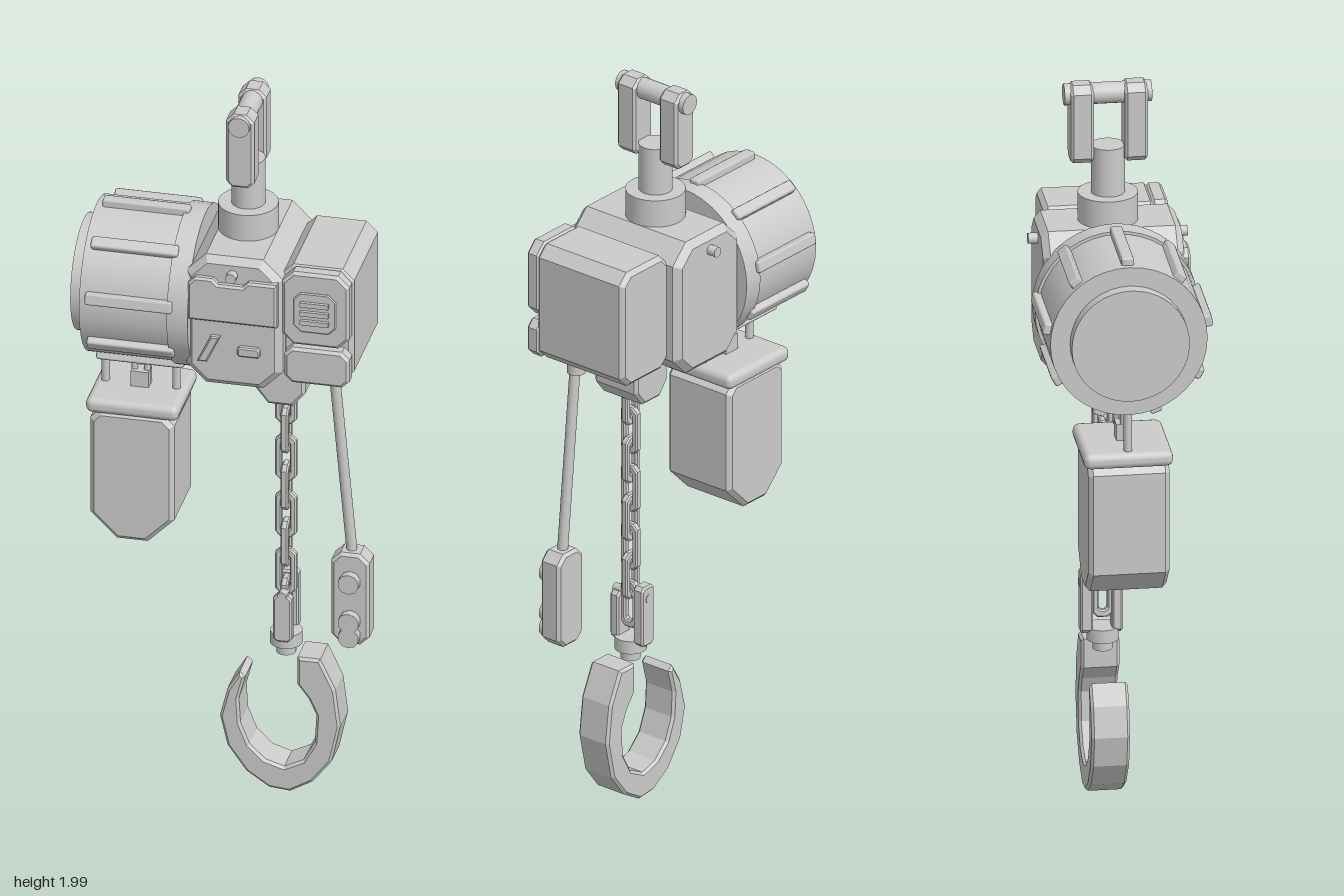
import * as THREE from 'three';
import { RoundedBoxGeometry } from 'three/addons/geometries/RoundedBoxGeometry.js';

const mat = new THREE.MeshStandardMaterial({ color: 0xcccccc });

export function createModel() {
  const model = new THREE.Group();

  function add(name, geo, x = 0, y = 0, z = 0, parent = model) {
    const mesh = new THREE.Mesh(geo, mat);
    mesh.name = name;
    mesh.position.set(x, y, z);
    parent.add(mesh);
    return mesh;
  }
  // Bevelled prism along z from an outline
  function prism(name, shape, z0, z1, bevel = 0.008) {
    const geo = new THREE.ExtrudeGeometry(shape, {
      depth: z1 - z0 - 2 * bevel, bevelEnabled: bevel > 0, bevelSize: bevel,
      bevelThickness: bevel, bevelOffset: -bevel, bevelSegments: 1, curveSegments: 6,
    });
    return add(name, geo, 0, 0, z0 + bevel);
  }
  const poly = (pts) => new THREE.Shape(pts.map(([x, y]) => new THREE.Vector2(x, y)));
  // Rectangle with cut corners: ct at the top, cb at the bottom
  const chamfered = (x0, x1, y0, y1, ct, cb = ct) => poly([
    [x0 + cb, y0], [x1 - cb, y0], [x1, y0 + cb], [x1, y1 - ct],
    [x1 - ct, y1], [x0 + ct, y1], [x0, y1 - ct], [x0, y0 + cb],
  ]);
  const rod = (r, len, seg = 20) => new THREE.CylinderGeometry(r, r, len, seg);
  function rodX(name, r, x0, x1, y, z, seg = 40) {
    add(name, rod(r, x1 - x0, seg), (x0 + x1) / 2, y, z).rotation.z = Math.PI / 2;
  }
  function rodZ(name, r, z0, z1, x, y, seg = 16) {
    add(name, rod(r, z1 - z0, seg), x, y, (z0 + z1) / 2).rotation.x = Math.PI / 2;
  }

  // Motor with end cap, flange and nine cooling ribs
  const MY = 1.437;
  rodX('motorBody', 0.204, -0.355, -0.1, MY, 0);
  rodX('motorEndCap', 0.153, -0.39, -0.34, MY, 0);
  rodX('motorFlange', 0.212, -0.122, -0.067, MY, 0);
  for (let i = 0; i < 9; i++) {
    const a = (i * 2 * Math.PI) / 9;
    const rib = add('motorRib', new RoundedBoxGeometry(0.23, 0.034, 0.032, 1, 0.006),
      -0.223, MY + 0.206 * Math.cos(a), 0.206 * Math.sin(a));
    rib.rotation.x = a;
  }

  // Central gear housing with cover details
  prism('housing', chamfered(-0.08, 0.175, 1.245, 1.62, 0.052), -0.183, 0.183, 0.018);
  prism('frontCover', poly([[-0.07, 1.44], [0.165, 1.44], [0.165, 1.565], [0.09, 1.565],
    [0.075, 1.55], [0.01, 1.55], [-0.005, 1.565], [-0.05, 1.565], [-0.07, 1.545]]), 0.17, 0.2, 0.006);
  prism('slantedTab', poly([[-0.045, 1.32], [-0.02, 1.32], [0.015, 1.395], [-0.01, 1.395]]), 0.17, 0.197, 0.004);
  prism('smallTab', chamfered(0.06, 0.12, 1.345, 1.372, 0.006), 0.17, 0.197, 0.004);
  rodZ('housingPin', 0.014, -0.208, 0.206, 0.045, 1.575);

  // Suspension collar, stem, clevis and pin
  add('collar', rod(0.078, 0.09, 32), 0.045, 1.65, 0);
  add('stem', rod(0.044, 0.14, 28), 0.045, 1.755, 0);
  for (const s of [-1, 1]) {
    const c = s * 0.07;
    prism('clevisPlate', chamfered(0.008, 0.082, 1.785, 1.998, 0.02, 0.016), c - 0.03, c + 0.03, 0.007);
  }
  rodZ('clevisPin', 0.028, -0.115, 0.112, 0.045, 1.968, 20);

  // Electrical box with two front panels and a grille
  prism('electricalBox', chamfered(0.165, 0.355, 1.275, 1.6, 0.03), -0.147, 0.143, 0.012);
  prism('upperPanel', chamfered(0.174, 0.352, 1.388, 1.6, 0.03), 0.135, 0.178);
  prism('lowerPanel', chamfered(0.18, 0.352, 1.275, 1.378, 0.02), 0.135, 0.178);
  prism('grilleFrame', chamfered(0.205, 0.318, 1.43, 1.545, 0.02), 0.17, 0.182, 0.003);
  for (let i = 0; i < 3; i++)
    add('grilleBar', new THREE.BoxGeometry(0.075, 0.013, 0.014), 0.262, 1.462 + i * 0.026, 0.184);

  // Chain guide under the housing
  prism('chainGuide', poly([[0.112, 1.145], [0.178, 1.145], [0.21, 1.185], [0.21, 1.235],
    [0.178, 1.275], [0.112, 1.275], [0.08, 1.235], [0.08, 1.185]]), -0.073, 0.07);

  // Load chain with links turned a quarter each
  const CX = 0.145;
  const link = chamfered(-0.028, 0.028, -0.066, 0.066, 0.014);
  link.holes.push(chamfered(-0.011, 0.011, -0.046, 0.046, 0.006));
  const linkGeo = new THREE.ExtrudeGeometry(link, { depth: 0.012, bevelThickness: 0.004,
    bevelSize: 0.004, bevelOffset: -0.004, bevelSegments: 1 }).translate(0, 0, -0.006);
  for (let i = 0; i < 8; i++)
    add('chainLink', linkGeo, CX, 1.125 - i * 0.083, 0).rotation.y = (i % 2) * Math.PI / 2;

  // Hook swivel: side plates, bolt and nut
  prism('swivelPlate', chamfered(0.12, 0.17, 0.44, 0.61, 0.01), -0.06, -0.027, 0.005);
  prism('swivelPlate', chamfered(0.12, 0.17, 0.44, 0.575, 0.01), 0.022, 0.05, 0.005);
  rodZ('swivelBolt', 0.012, -0.062, 0.052, CX, 0.575, 10);
  add('swivelNut', rod(0.042, 0.036, 16), CX, 0.435, 0);
  add('swivelShank', rod(0.026, 0.05, 16), CX, 0.415, 0);

  // Hook, a faceted slab
  prism('hook', poly([[0.185, 0.4], [0.245, 0.4], [0.285, 0.315], [0.298, 0.21], [0.275, 0.105],
    [0.225, 0.04], [0.165, 0.005], [0.11, 0.01], [0.05, 0.05], [0, 0.12], [-0.02, 0.205],
    [0, 0.285], [0.032, 0.338], [0.047, 0.325], [0.03, 0.26], [0.034, 0.19], [0.058, 0.13],
    [0.1, 0.09], [0.15, 0.075], [0.2, 0.1], [0.23, 0.155], [0.235, 0.235], [0.215, 0.28],
    [0.185, 0.32]]), -0.05, 0.05, 0.007);

  // Control cable and pendant with buttons
  add('cableGland', rod(0.025, 0.04, 14), 0.285, 1.258, 0.065);
  const cable = new THREE.LineCurve3(new THREE.Vector3(0.288, 1.25, 0.067), new THREE.Vector3(0.335, 0.74, 0.07));
  add('controlCable', new THREE.TubeGeometry(cable, 1, 0.014, 10));
  prism('pendant', chamfered(0.286, 0.387, 0.485, 0.75, 0.025), 0.038, 0.102);
  for (const y of [0.672, 0.558, 0.515]) rodZ('pendantButton', 0.028, 0.09, 0.125, 0.337, y, 10);

  // Chain container hung under the motor
  add('containerLid', new RoundedBoxGeometry(0.245, 0.042, 0.232, 2, 0.018), -0.238, 1.105, 0);
  prism('chainContainer', chamfered(-0.35, -0.128, 0.72, 1.09, 0.025, 0.07), -0.103, 0.108, 0.012);
  for (const x of [-0.332, -0.145]) add('hangerRod', rod(0.011, 0.15, 12), x, 1.185, 0);
  for (const x of [-0.255, -0.222]) add('chainFeed', rod(0.009, 0.13, 12), x, 1.185, 0);
  add('chainFeedBlock', new THREE.BoxGeometry(0.048, 0.05, 0.04), -0.238, 1.145, 0);

  return model;
}
